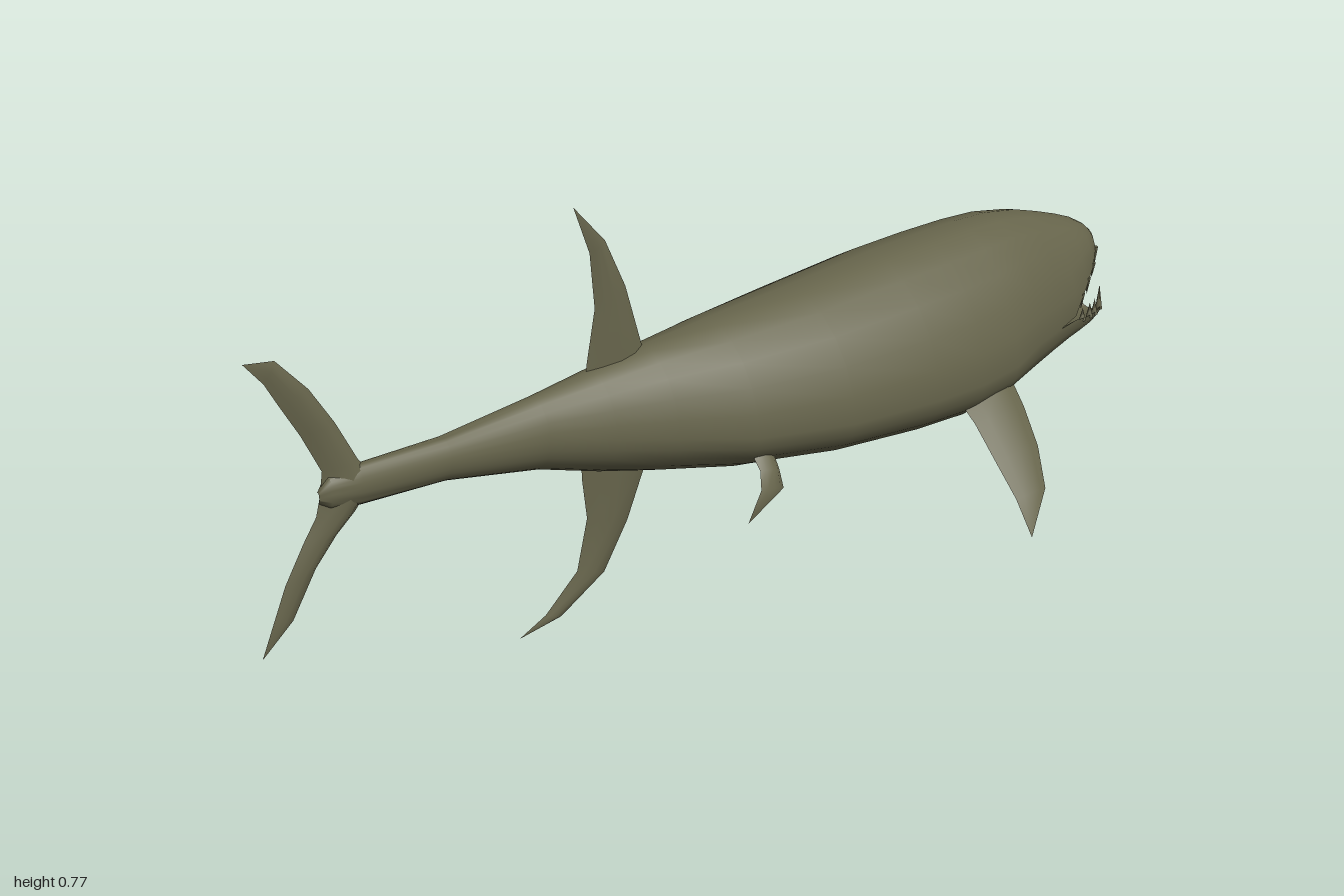
import * as THREE from 'three';
import { mergeGeometries, toCreasedNormals } from 'three/addons/utils/BufferGeometryUtils.js';

const V = (x, y, z) => new THREE.Vector3(x, y, z);
const olive = new THREE.MeshStandardMaterial({ name: 'olive skin', color: 0x66644b });

// Surface through rows of points (all rows the same length)
function grid(rows) {
  const n = rows[0].length, idx = [];
  for (let i = 0; i < rows.length - 1; i++) {
    for (let j = 0; j < n - 1; j++) {
      const a = i * n + j, b = a + 1, c = a + n, d = c + 1;
      idx.push(a, c, b, b, c, d);
    }
  }
  const g = new THREE.BufferGeometry();
  g.setAttribute('position', new THREE.Float32BufferAttribute(rows.flat().flatMap(p => [p.x, p.y, p.z]), 3));
  g.setIndex(idx);
  return g.toNonIndexed();
}

function addMesh(parent, name, geometry) {
  const m = new THREE.Mesh(geometry, olive);
  m.name = name;
  parent.add(m);
  return m;
}

// Body stations: z, top, bottom, half width, then upper lip, lower lip, mouth depth (0..1), lower jaw z
const STATIONS = [
  [0.86, 0.405, 0.385, 0.004], [0.84, 0.43, 0.37, 0.016], [0.78, 0.434, 0.36, 0.02],
  [0.6, 0.432, 0.352, 0.028], [0.4, 0.45, 0.315, 0.045], [0.27, 0.465, 0.275, 0.07],
  [0.15, 0.48, 0.245, 0.097], [0, 0.492, 0.215, 0.14], [-0.2, 0.504, 0.19, 0.176],
  [-0.4, 0.519, 0.175, 0.189], [-0.52, 0.523, 0.17, 0.186], [-0.62, 0.524, 0.178, 0.175],
  [-0.7, 0.521, 0.19, 0.157, 0.302, 0.302, 0],
  [-0.78, 0.508, 0.207, 0.132, 0.303, 0.303, 0.5],
  [-0.84, 0.49, 0.22, 0.113, 0.308, 0.3, 0.75],
  [-0.89, 0.473, 0.228, 0.09, 0.345, 0.285, 0.75],
  [-0.93, 0.457, 0.235, 0.069, 0.372, 0.277, 0.7, -0.94],
  [-0.96, 0.44, 0.241, 0.046, 0.392, 0.271, 0.6, -0.98],
  [-0.978, 0.425, 0.252, 0.022, 0.405, 0.266, 1, -0.998],
].map(([z, top, bottom, w, lipU, lipL, mouth, zl]) => {
  const f = THREE.MathUtils.lerp(0.3, 0.5, THREE.MathUtils.smoothstep(z, -0.1, 0.6));
  const mid = bottom + f * (top - bottom);
  return { z, top, bottom, w, lipU: lipU ?? mid, lipL: lipL ?? mid, mouth, zl: zl ?? z };
});

// Half ring from +x to -x, rising by h (or falling when h is negative)
function arc(w, y, h, z, power, inset = 1) {
  const N = 12, pts = [];
  for (let i = 0; i <= N; i++) {
    const t = Math.PI * i / N, c = Math.cos(t), s = Math.max(0, Math.sin(t));
    const k = i === 0 || i === N ? 1 : inset;
    pts.push(V(k * w * Math.sign(c) * Math.abs(c) ** power, i % N ? y + h * s ** power : y, z));
  }
  return pts;
}
const upper = (s, depth = 1, inset = 1) => arc(s.w, s.lipU, (s.top - s.lipU) * depth, s.z, 1.08, inset);
const lower = (s, depth = 1, inset = 1) => arc(s.w, s.lipL, (s.bottom - s.lipL) * depth, s.zl, 1, inset);

// Fin of lens sections: each station is [leading point, trailing point, half thickness]
function fin(parent, name, stations) {
  const span = stations.at(-1)[0].clone().sub(stations[0][0]);
  const rows = stations.map(([lead, trail, t]) => {
    const chord = stations[0][1].clone().sub(stations[0][0]);
    const n = chord.cross(span).normalize().multiplyScalar(t);
    const at = (k, side) => lead.clone().lerp(trail, k).addScaledVector(n, side);
    return [lead, at(0.2, -0.8), at(0.45, -1), at(0.75, -0.55), trail,
      at(0.75, 0.55), at(0.45, 1), at(0.2, 0.8), lead];
  });
  return addMesh(parent, name, toCreasedNormals(grid(rows), 1.0));
}

// Fin lying in the middle plane, from [leadZ, leadY, trailZ, trailY, half thickness]
const middleFin = (parent, name, list) =>
  fin(parent, name, list.map(([a, b, c, d, t]) => [V(0, b, a), V(0, d, c), t]));

// Fins in left and right pairs, from [lead xyz, trail xyz, half thickness]
function pairedFin(parent, name, list) {
  for (const [side, s] of [['left', 1], ['right', -1]]) {
    fin(parent, side + name, list.map(([a, b, t]) =>
      [V(s * a[0], a[1], a[2]), V(s * b[0], b[1], b[2]), t]));
  }
}

// Teeth set along both sides of a lip
function teeth(parent, name, list, isUpper) {
  const zOf = s => isUpper ? s.z : s.zl;
  for (const [z, h] of list) {
    const i = STATIONS.findIndex(s => zOf(s) <= z);
    const a = STATIONS[i - 1], b = STATIONS[i];
    const k = (z - zOf(a)) / (zOf(b) - zOf(a));
    const mix = key => THREE.MathUtils.lerp(a[key], b[key], k);
    const y = mix(isUpper ? 'lipU' : 'lipL');
    for (const s of [1, -1]) {
      const g = new THREE.ConeGeometry(0.007, h, 6);
      const m = addMesh(parent, name, g);
      m.position.set(s * mix('w') * 0.95, y + (isUpper ? -1 : 1) * (h / 2 - 0.006), z);
      m.rotation.x = isUpper ? Math.PI : 0;
    }
  }
}

export function createModel() {
  const fish = new THREE.Group();
  fish.name = 'fish';

  // Skin: back and belly run the full length and part at the mouth
  const skin = mergeGeometries([
    grid(STATIONS.map(s => upper(s))),
    grid(STATIONS.map(s => lower(s).reverse())),
  ]);
  addMesh(fish, 'body', toCreasedNormals(skin, 1.2));

  // Mouth lining: palate and floor, closing at the throat
  const head = STATIONS.filter(s => s.mouth !== undefined);
  const inset = s => s.mouth === 1 ? 1 : 0.88;
  addMesh(fish, 'palate', toCreasedNormals(grid(head.map(s => upper(s, s.mouth, inset(s)).reverse())), 1));
  addMesh(fish, 'mouthFloor', toCreasedNormals(grid(head.map(s => lower(s, s.mouth, inset(s)))), 1));

  teeth(fish, 'upperTooth', [[-0.875, 0.032], [-0.905, 0.034], [-0.933, 0.03], [-0.962, 0.045]], true);
  teeth(fish, 'lowerTooth', [[-0.885, 0.025], [-0.92, 0.03], [-0.945, 0.032], [-0.985, 0.05]], false);

  middleFin(fish, 'dorsalFin', [
    [0.14, 0.44, 0.285, 0.43, 0.014], [0.155, 0.485, 0.28, 0.475, 0.013], [0.19, 0.6, 0.26, 0.575, 0.01],
    [0.235, 0.695, 0.27, 0.68, 0.006], [0.305, 0.772, 0.305, 0.772, 0],
  ]);
  middleFin(fish, 'analFin', [
    [0.14, 0.285, 0.295, 0.3, 0.013], [0.152, 0.24, 0.293, 0.26, 0.012], [0.19, 0.155, 0.283, 0.185, 0.01],
    [0.245, 0.07, 0.307, 0.09, 0.007], [0.345, 0.014, 0.38, 0.027, 0.004], [0.44, 0, 0.44, 0, 0],
  ]);
  middleFin(fish, 'upperTailLobe', [
    [0.74, 0.4, 0.855, 0.4, 0.018], [0.775, 0.44, 0.85, 0.44, 0.013], [0.82, 0.52, 0.89, 0.515, 0.009],
    [0.87, 0.593, 0.932, 0.582, 0.007], [0.935, 0.66, 0.958, 0.625, 0.004], [0.998, 0.67, 0.998, 0.67, 0],
  ]);
  middleFin(fish, 'lowerTailLobe', [
    [0.74, 0.4, 0.855, 0.4, 0.018], [0.785, 0.35, 0.865, 0.362, 0.013], [0.825, 0.318, 0.893, 0.322, 0.01],
    [0.87, 0.27, 0.933, 0.257, 0.007], [0.92, 0.19, 0.958, 0.2, 0.004], [0.985, 0.138, 0.985, 0.138, 0],
  ]);

  pairedFin(fish, 'PectoralFin', [
    [[0.15, 0.235, -0.635], [0.15, 0.235, -0.495], 0.014],
    [[0.19, 0.207, -0.622], [0.19, 0.207, -0.493], 0.011],
    [[0.25, 0.152, -0.6], [0.25, 0.152, -0.488], 0.008],
    [[0.31, 0.098, -0.56], [0.31, 0.098, -0.483], 0.005],
    [[0.367, 0.045, -0.468], [0.367, 0.045, -0.468], 0],
  ]);
  pairedFin(fish, 'PelvicFin', [
    [[0.105, 0.27, -0.055], [0.108, 0.27, -0.005], 0.01],
    [[0.135, 0.228, -0.052], [0.142, 0.24, 0.0], 0.008],
    [[0.157, 0.2, -0.043], [0.165, 0.215, 0.018], 0.005],
    [[0.164, 0.159, 0.048], [0.164, 0.159, 0.048], 0],
  ]);

  return fish;
}
